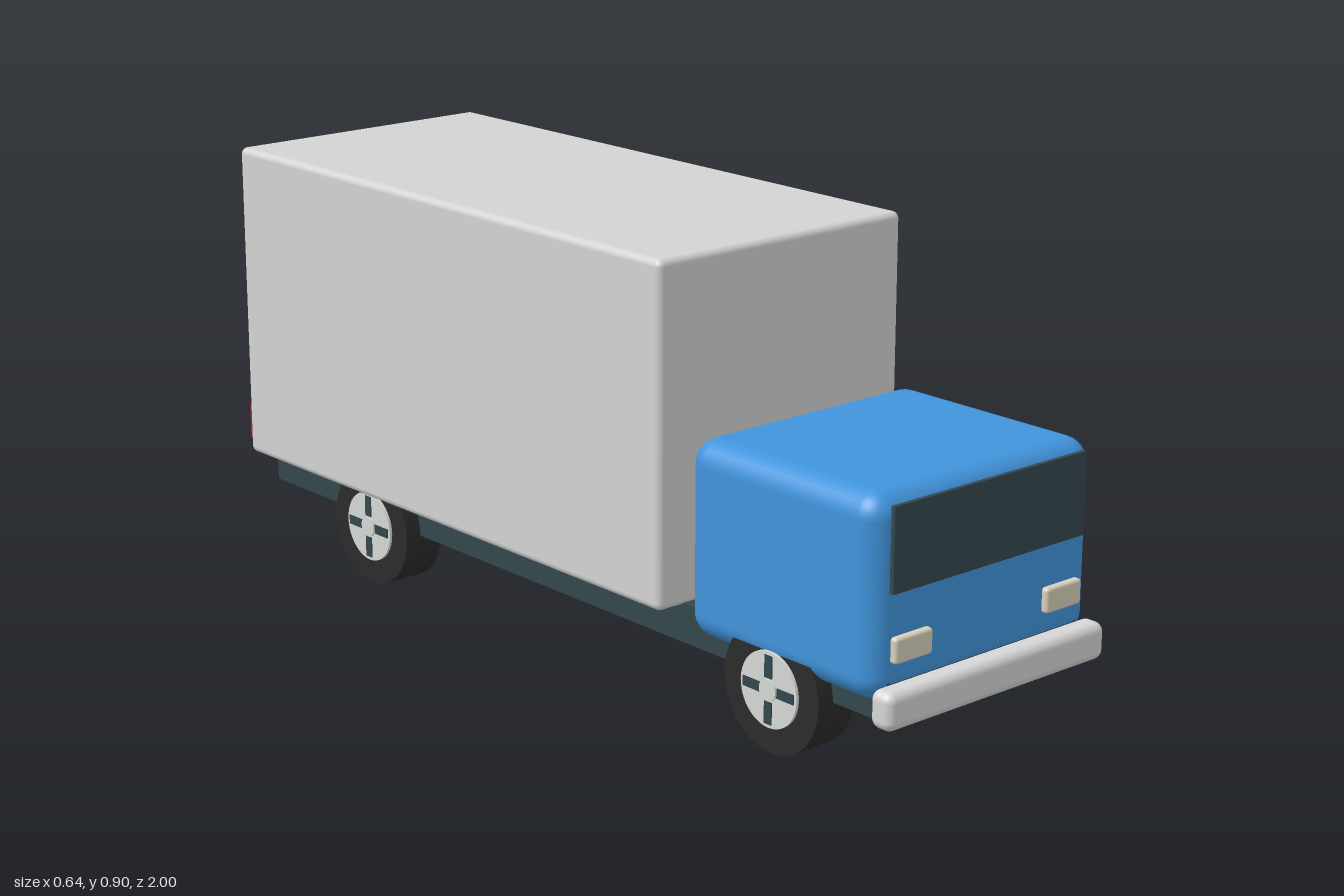
import * as THREE from 'three';
import { RoundedBoxGeometry } from 'three/addons/geometries/RoundedBoxGeometry.js';

const material = (name, color) => {
  const m = new THREE.MeshStandardMaterial({ color });
  m.name = name;
  return m;
};

export function createModel() {
  const truck = new THREE.Group();
  truck.name = 'boxTruck';

  const blue = material('cabBlue', 0x4194dc);
  const grey = material('cargoGrey', 0xd3d3d3);
  const dark = material('darkSlate', 0x34474c);
  const chrome = material('chrome', 0xd6d6d6);
  const rubber = material('tyreBlack', 0x2b2b2b);
  const rimGrey = material('rimGrey', 0xd4d8d4);
  const lamp = material('headlightCream', 0xd6cfba);
  const red = material('tailLightRed', 0xc01a3c);

  const add = (parent, name, geometry, mat, x = 0, y = 0, z = 0) => {
    const mesh = new THREE.Mesh(geometry, mat);
    mesh.name = name;
    mesh.position.set(x, y, z);
    parent.add(mesh);
    return mesh;
  };
  // Box given by its limits; a radius rounds the edges
  const block = (name, mat, [x0, x1], [y0, y1], [z0, z1], radius = 0) => {
    const size = [x1 - x0, y1 - y0, z1 - z0];
    const geometry = radius
      ? new RoundedBoxGeometry(...size, 5, radius)
      : new THREE.BoxGeometry(...size);
    return add(truck, name, geometry, mat, (x0 + x1) / 2, (y0 + y1) / 2, (z0 + z1) / 2);
  };

  // Body
  block('chassis', dark, [-0.255, 0.255], [0.13, 0.21], [-0.975, 0.955]);
  block('cargoBox', grey, [-0.32, 0.32], [0.205, 0.9], [-0.987, 0.405], 0.015);
  block('cab', blue, [-0.295, 0.295], [0.168, 0.565], [0.45, 0.957], 0.05);
  block('windshield', dark, [-0.255, 0.255], [0.38, 0.546], [0.956, 0.965]);
  block('frontBumper', chrome, [-0.293, 0.293], [0.13, 0.206], [0.945, 1], 0.02);

  // Lamps on both sides
  for (const side of [1, -1]) {
    const label = side > 0 ? 'left' : 'right';
    const span = (a, b) => (side > 0 ? [a, b] : [-b, -a]);
    block(label + 'Headlight', lamp, span(0.153, 0.25), [0.245, 0.296], [0.945, 0.971], 0.007);
    block(label + 'TailLight', red, span(0.252, 0.308), [0.23, 0.31], [-1, -0.98]);
  }

  // Wheels: axle along x, outer face towards +x before mirroring by rotation
  const disc = (radius, width) => new THREE.CylinderGeometry(radius, radius, width, 40).rotateZ(Math.PI / 2);
  const tyreShape = disc(0.128, 0.092);
  const rimShape = disc(0.076, 0.104);
  const hubShape = disc(0.022, 0.112);
  const spokeShape = new THREE.BoxGeometry(0.108, 0.045, 0.02).translate(0, 0.046, 0);
  for (const [end, z] of [['front', 0.69], ['rear', -0.57]]) {
    for (const side of [1, -1]) {
      const wheel = new THREE.Group();
      wheel.name = end + (side > 0 ? 'Left' : 'Right') + 'Wheel';
      wheel.position.set(side * 0.246, 0.128, z);
      add(wheel, 'tyre', tyreShape, rubber);
      add(wheel, 'rim', rimShape, rimGrey);
      add(wheel, 'hub', hubShape, rimGrey);
      for (let i = 0; i < 4; i++) {
        add(wheel, 'rimSlot', spokeShape, dark).rotation.x = i * Math.PI / 2;
      }
      truck.add(wheel);
    }
  }
  return truck;
}
